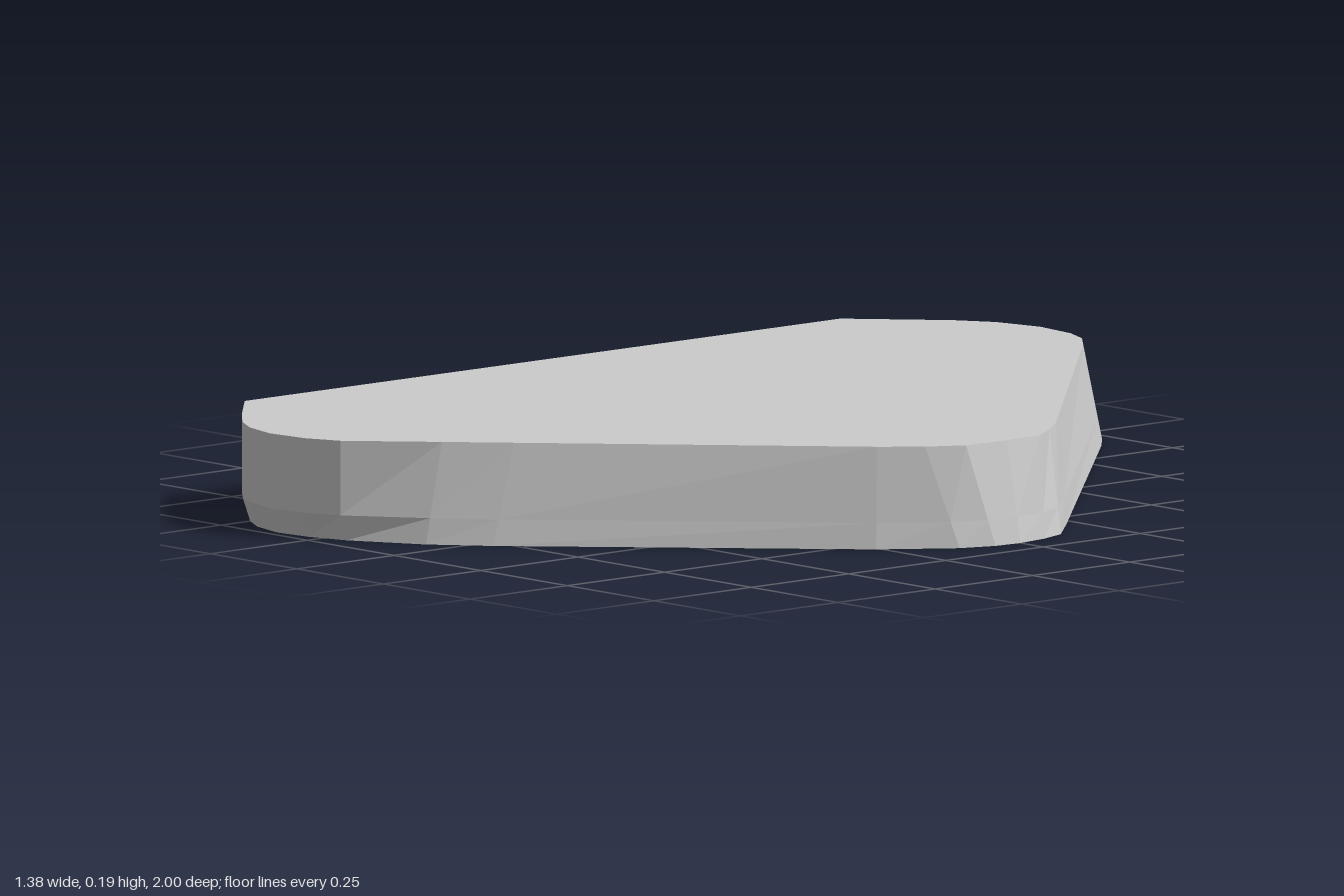
import * as THREE from 'three';

// Matching outlines as [x, z], running from the back left corner clockwise seen from above
const topOutline = [
  [-0.69, -0.76], [-0.53, -0.91], [-0.46, -0.955], [-0.36, -0.98], [-0.26, -0.97], [-0.2, -0.945], [-0.14, -0.895],
  [0.54, -0.22], [0.6, -0.15], [0.64, -0.09], [0.645, 0], [0.64, 0.1], [0.6, 0.17], [0.54, 0.24],
  [0.04, 0.727], [-0.06, 0.824], [-0.2, 0.96], [-0.27, 0.99], [-0.36, 1], [-0.44, 0.98], [-0.5, 0.945], [-0.58, 0.875], [-0.69, 0.77],
];
const bottomOutline = [
  [-0.69, -0.78], [-0.55, -0.91], [-0.48, -0.975], [-0.37, -1], [-0.27, -0.995], [-0.17, -0.97], [-0.11, -0.915],
  [0.57, -0.22], [0.655, -0.13], [0.675, -0.07], [0.685, 0], [0.68, 0.06], [0.655, 0.13], [0.56, 0.26],
  [0.04, 0.78], [-0.06, 0.865], [-0.2, 0.945], [-0.28, 0.97], [-0.36, 0.98], [-0.44, 0.96], [-0.5, 0.925], [-0.58, 0.86], [-0.69, 0.76],
];
const height = 0.195;
const lowY = 0.05;

// Ring just above the base: full width at the front lobe, evenly sloped elsewhere
const lowOutline = bottomOutline.map(([x, z], i) => {
  const [tx, tz] = topOutline[i];
  const t = x <= -0.2 && z > 0.7 ? 1 : lowY / height;
  return [x + (tx - x) * t, z + (tz - z) * t];
});

function loftGeometry(rings) {
  const n = rings[0].points.length;
  const positions = [];
  const indices = [];
  for (const { y, points } of rings) for (const [x, z] of points) positions.push(x, y, z);

  // Side walls
  for (let r = 0; r < rings.length - 1; r++) {
    for (let i = 0; i < n; i++) {
      const a = r * n + i;
      const b = r * n + (i + 1) % n;
      indices.push(b, a, a + n, b, a + n, b + n);
    }
  }

  // Flat caps
  const bottomCentre = positions.length / 3;
  const last = (rings.length - 1) * n;
  positions.push(-0.2, rings[0].y, 0, -0.2, rings[rings.length - 1].y, 0);
  for (let i = 0; i < n; i++) {
    const j = (i + 1) % n;
    indices.push(bottomCentre, i, j, bottomCentre + 1, last + j, last + i);
  }

  const geometry = new THREE.BufferGeometry();
  geometry.setAttribute('position', new THREE.Float32BufferAttribute(positions, 3));
  geometry.setIndex(indices);
  const flat = geometry.toNonIndexed();
  flat.computeVertexNormals();
  return flat;
}

export function createModel() {
  const group = new THREE.Group();
  group.name = 'roundedTriangularSlab';
  const slab = new THREE.Mesh(
    loftGeometry([
      { y: 0, points: bottomOutline },
      { y: lowY, points: lowOutline },
      { y: height, points: topOutline },
    ]),
    new THREE.MeshStandardMaterial({ color: 0xcccccc, flatShading: true }),
  );
  slab.name = 'slab';
  group.add(slab);
  return group;
}
